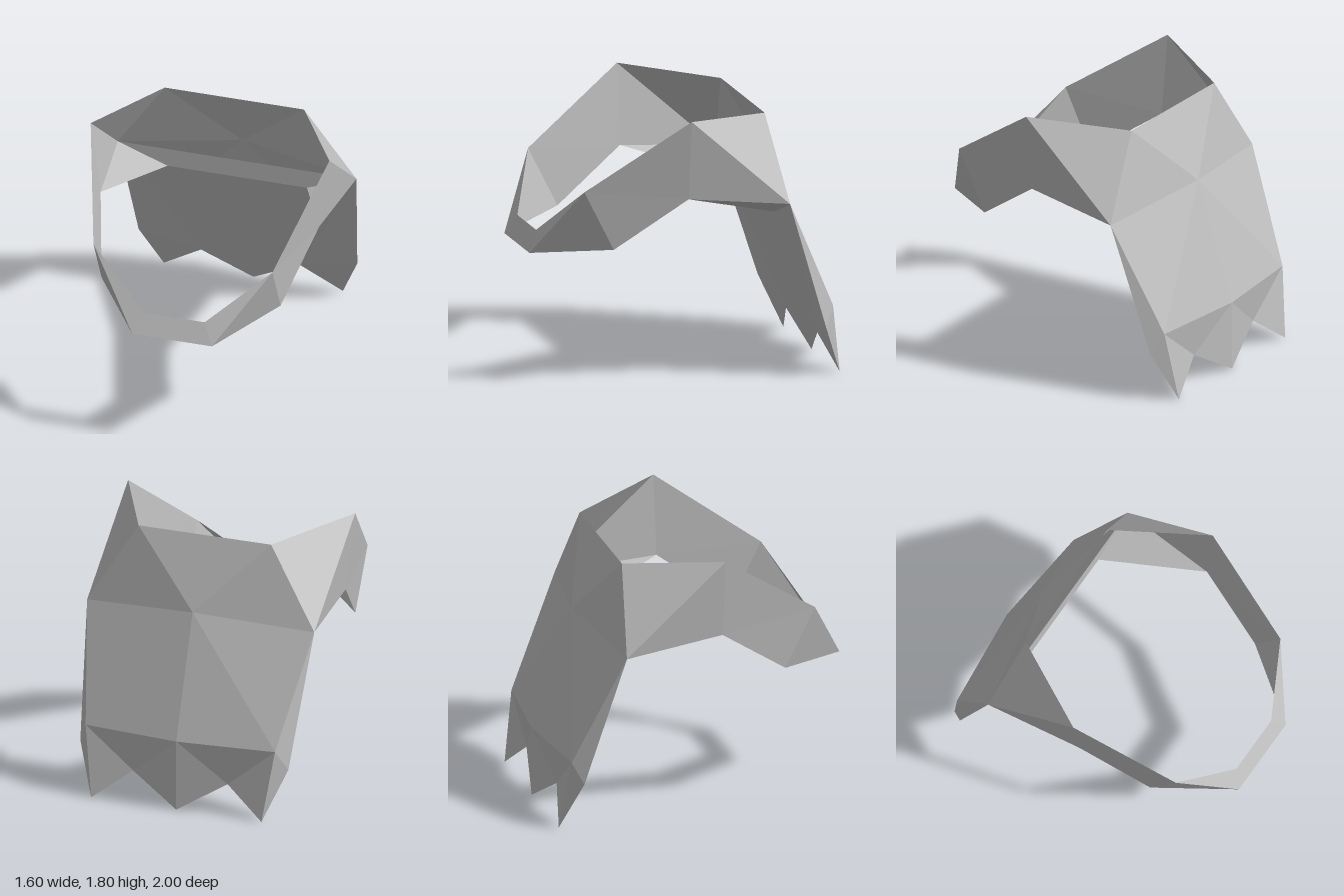
import * as THREE from 'three';

// Corners of the +x half; a trailing '-' in a face means the mirrored corner
const corners = {
  peak: [0.8, 1.8, 0.067],
  crown: [0.467, 1.733, -0.533],
  hip: [0.8, 1.2, -0.6],
  under: [0.733, 1.267, 0.067],
  shoulder: [0.6, 1.333, 0.733],
  elbow: [0.6, 0.933, 0.533],
  chin: [0.267, 0.867, 1.0],
  lip: [0.2, 1.0, 0.933],
  ledge: [0.467, 1.067, -0.6],
  spine: [0, 1.267, -0.733],
  sideHem: [0.733, 0.333, -0.867],
  sideTip: [0.6, 0, -1.0],
  flare: [0.667, 0.467, -0.933],
  tail: [0, 0.467, -1.0],
  notch: [0.333, 0.2, -0.933],
  midTip: [0, 0, -1.0],
};

const corner = (name, flip) => {
  const mirrored = name.endsWith('-');
  const [x, y, z] = corners[mirrored ? name.slice(0, -1) : name];
  return [mirrored !== flip ? -x : x, y, z];
};

// Flat facets: 'paired' faces are repeated on -x, 'centre' faces are not
function facets(name, material, paired, centre = []) {
  const positions = [];
  const addFace = (text, flip) => {
    const pts = text.split(' ').map((n) => corner(n, flip));
    if (flip) pts.reverse();
    for (let i = 1; i < pts.length - 1; i++) positions.push(...pts[0], ...pts[i], ...pts[i + 1]);
  };
  paired.forEach((f) => { addFace(f, false); addFace(f, true); });
  centre.forEach((f) => addFace(f, false));
  const geometry = new THREE.BufferGeometry();
  geometry.setAttribute('position', new THREE.Float32BufferAttribute(positions, 3));
  geometry.computeVertexNormals();
  const mesh = new THREE.Mesh(geometry, material);
  mesh.name = name;
  return mesh;
}

export function createModel() {
  const group = new THREE.Group();
  group.name = 'hoodedCape';
  const grey = new THREE.MeshStandardMaterial({ color: 0xbfbfbf, side: THREE.DoubleSide, flatShading: true });
  grey.name = 'plain grey';

  group.add(
    // Side bands running from the back round to the front
    facets('sideBands', grey, [
      'peak under hip', 'peak hip crown', 'peak shoulder under',
      'shoulder elbow under', 'shoulder chin elbow', 'under ledge hip',
    ]),
    // Narrow strip closing the ring at the front
    facets('frontCollar', grey, ['shoulder lip chin'], ['lip- chin- chin lip']),
    // Back panel with a pointed hem
    facets('backPanel', grey, [
      'crown hip spine', 'hip flare spine', 'spine flare tail', 'hip sideHem flare',
      'flare sideHem sideTip', 'flare sideTip notch', 'flare notch tail', 'tail notch midTip',
    ], ['crown spine crown-']),
    // Inner face of the back panel, with its upright ledge
    facets('innerLining', grey, [
      'hip notch sideHem', 'sideHem notch sideTip', 'hip ledge notch',
    ], ['hip- ledge- ledge hip', 'ledge- notch- notch ledge', 'notch- midTip notch']),
  );
  return group;
}
